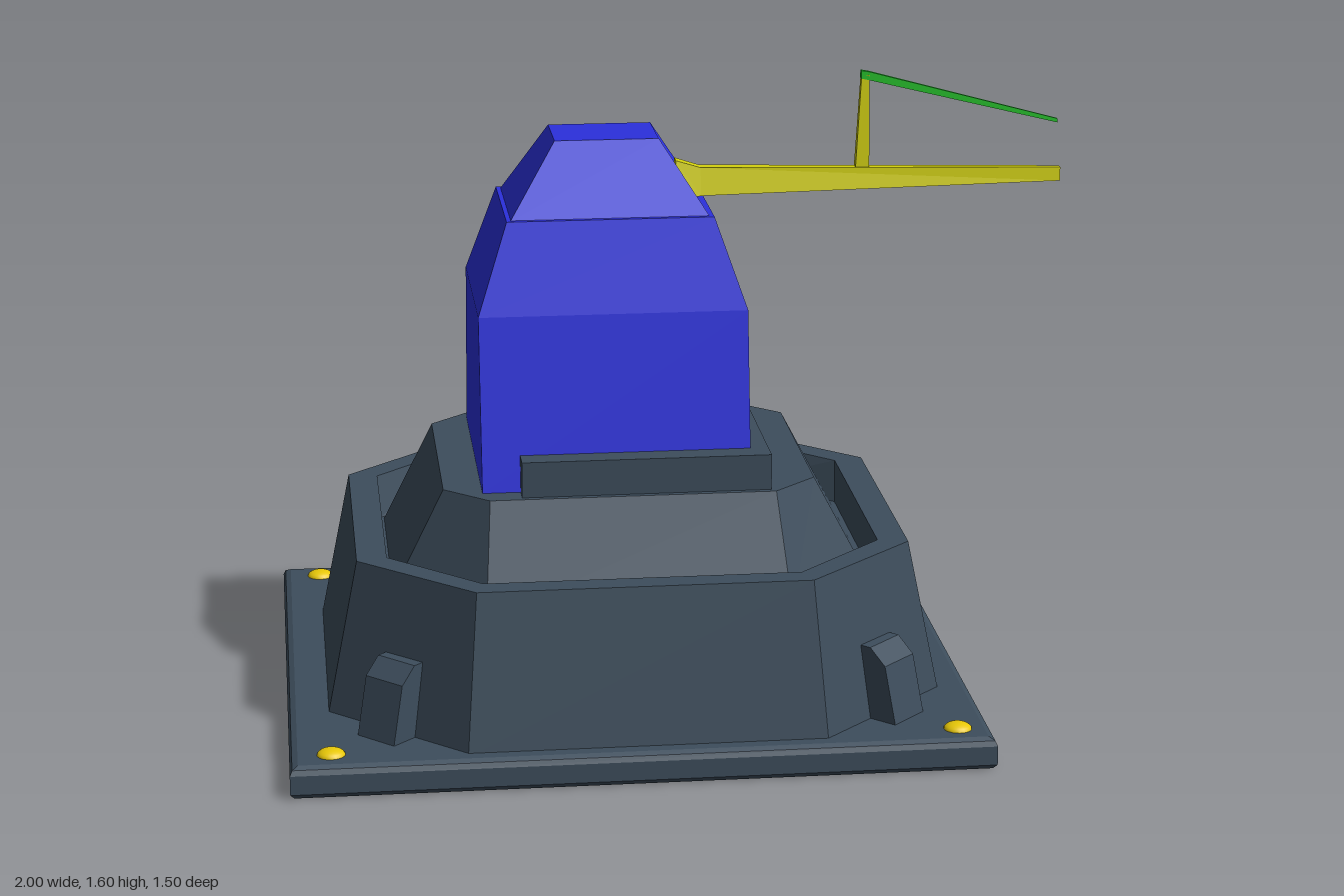
import * as THREE from 'three';

const paint = (color) => new THREE.MeshStandardMaterial({ color, flatShading: true });

// Cross-section at height y: a rectangle x0..x1 by -z..z
const rect = (x0, x1, z, y) => [[x1, y, z], [x1, y, -z], [x0, y, -z], [x0, y, z]];

// The same with corners cut by cx, cz
const octagon = (x0, x1, z, y, cx, cz) => [
  [x1, y, z - cz], [x1, y, cz - z], [x1 - cx, y, -z], [x0 + cx, y, -z],
  [x0, y, cz - z], [x0, y, z - cz], [x0 + cx, y, z], [x1 - cx, y, z],
];

// Cross-section across the boom at x: trapezoid in y and z
const section = (x, y0, y1, zBottom, zTop) => [
  [x, y0, -zBottom], [x, y1, -zTop], [x, y1, zTop], [x, y0, zBottom],
];

// Joins cross-sections into a closed, faceted solid
function loft(rings) {
  const pos = [];
  const same = (a, b) => a.every((v, i) => v === b[i]);
  const tri = (a, b, c) => {
    if (!same(a, b) && !same(b, c) && !same(a, c)) pos.push(...a, ...b, ...c);
  };
  for (let r = 0; r < rings.length - 1; r++) {
    const lo = rings[r], hi = rings[r + 1], n = lo.length;
    for (let i = 0; i < n; i++) {
      const j = (i + 1) % n;
      tri(lo[i], lo[j], hi[j]);
      tri(lo[i], hi[j], hi[i]);
    }
  }
  const first = rings[0], last = rings[rings.length - 1];
  for (let i = 1; i < first.length - 1; i++) {
    tri(first[0], first[i + 1], first[i]);
    tri(last[0], last[i], last[i + 1]);
  }
  const g = new THREE.BufferGeometry();
  g.setAttribute('position', new THREE.Float32BufferAttribute(pos, 3));
  g.computeVertexNormals();
  return g;
}

export function createModel() {
  const model = new THREE.Group();
  model.name = 'turret';
  const slate = paint(0x3d4d5c), blue = paint(0x2b30dc);
  const yellow = paint(0xd2d00e), green = paint(0x14b41c);
  const gold = new THREE.MeshStandardMaterial({ color: 0xe8c808 });

  const add = (name, geometry, material) => {
    const mesh = new THREE.Mesh(geometry, material);
    mesh.name = name;
    model.add(mesh);
    return mesh;
  };

  // Ground plate with softened edges
  add('basePlate', loft([
    rect(-0.99, 0.71, 0.74, 0), rect(-1, 0.72, 0.75, 0.012),
    rect(-1, 0.72, 0.75, 0.06), rect(-0.994, 0.714, 0.744, 0.073), rect(-0.98, 0.7, 0.73, 0.08),
  ]), slate);

  // Sloped octagonal wall with a rim around a sunken floor
  add('lowerBase', loft([
    octagon(-0.9, 0.64, 0.7, 0.07, 0.33, 0.32),
    octagon(-0.82, 0.56, 0.63, 0.465, 0.28, 0.27),
    octagon(-0.745, 0.485, 0.565, 0.465, 0.225, 0.225),
    octagon(-0.74, 0.48, 0.515, 0.36, 0.23, 0.21),
  ]), slate);

  // Second tier rising from the floor
  add('upperBase', loft([
    octagon(-0.735, 0.472, 0.508, 0.35, 0.225, 0.21),
    octagon(-0.6, 0.33, 0.395, 0.62, 0.11, 0.105),
  ]), slate);

  add('collar', loft([rect(-0.41, 0.21, 0.38, 0.6), rect(-0.41, 0.21, 0.38, 0.71)]), slate);

  // Buttresses on the cut corners, and a bolt at each plate corner
  const profile = new THREE.Shape([
    [-0.1, 0.075], [0.07, 0.075], [0.035, 0.225], [-0.01, 0.265], [-0.1, 0.265],
  ].map(([x, y]) => new THREE.Vector2(x, y)));
  const buttress = new THREE.ExtrudeGeometry(profile, { depth: 0.12, bevelEnabled: false });
  buttress.translate(0, 0, -0.06);
  const bolt = new THREE.SphereGeometry(0.035, 20, 6, 0, Math.PI * 2, 0, Math.PI / 2);
  bolt.scale(1, 0.5, 1);
  for (const sx of [-1, 1]) {
    for (const sz of [-1, 1]) {
      const b = add('buttress', buttress, slate);
      b.position.set(-0.13 + sx * 0.61, 0, sz * 0.54);
      b.rotation.y = -Math.atan2(sz, sx);
      add('bolt', bolt, gold).position.set(-0.132 + sx * 0.767, 0.079, sz * 0.668);
    }
  }

  // Turret housing
  add('turretBody', loft([
    rect(-0.505, 0.165, 0.333, 0.62), rect(-0.505, 0.165, 0.262, 1.05), rect(-0.428, 0.088, 0.2, 1.275),
  ]), blue);

  // Cap, with its arm side folded inward around the boom
  const capBase = rect(-0.418, 0.078, 0.187, 1.273), capTop = rect(-0.3, -0.04, 0.1, 1.455);
  const fold = [0.01, 1.273, 0];
  add('turretCap', loft([
    [capBase[0], fold, fold, ...capBase.slice(1)],
    [capTop[0], capTop[0], capTop[1], ...capTop.slice(1)],
  ]), blue);

  // Tapering boom, upright post and sloping rod
  add('boom', loft([
    section(0.012, 1.28, 1.38, 0.038, 0.02),
    section(0.075, 1.29, 1.36, 0.03, 0.018),
    section(1, 1.302, 1.337, 0.012, 0.01),
  ]), yellow);
  add('post', loft([rect(0.47, 0.506, 0.013, 1.335), rect(0.484, 0.504, 0.009, 1.585)]), yellow);
  add('rod', loft([
    section(0.483, 1.577, 1.597, 0.01, 0.008),
    section(0.505, 1.572, 1.593, 0.01, 0.008),
    section(0.99, 1.452, 1.462, 0.005, 0.004),
  ]), green);

  return model;
}
